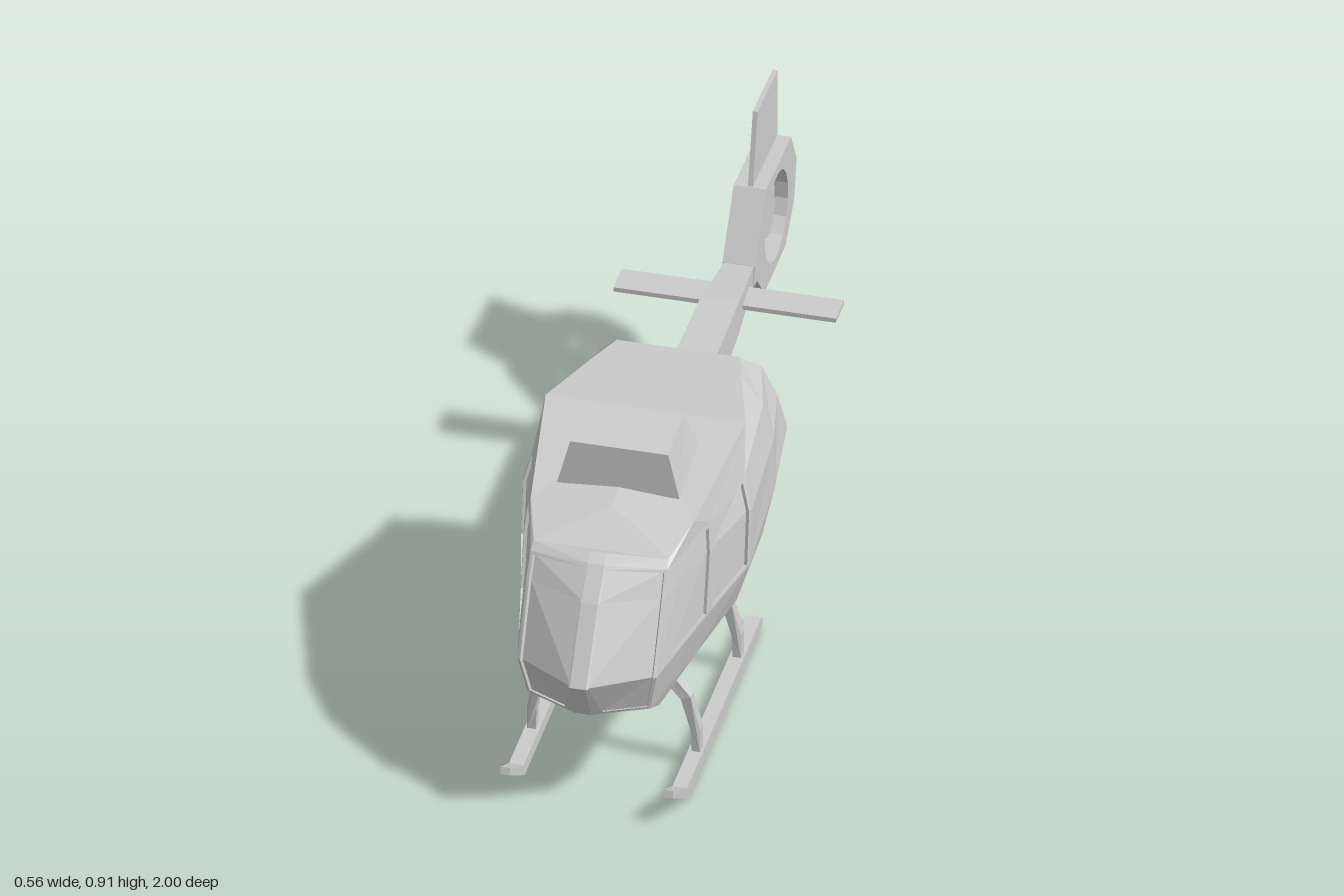
import * as THREE from 'three';

const mat = new THREE.MeshStandardMaterial({ color: 0xcccccc, flatShading: true });
const V = (x, y, z) => new THREE.Vector3(x, y, z);

function add(parent, geo, name) {
  const m = new THREE.Mesh(geo, mat);
  m.name = name;
  parent.add(m);
  return m;
}

// Collects faces of the left half and mirrors them to the right half
function mirroredSurface() {
  const pos = [];
  const tri = (a, b, c) => {
    const area = b.clone().sub(a).cross(c.clone().sub(a)).length();
    if (area < 1e-7) return;
    for (const p of [a, b, c]) pos.push(p.x, p.y, p.z);
    for (const p of [a, c, b]) pos.push(-p.x, p.y, p.z);
  };
  const quad = (a, b, c, d) => { tri(a, b, c); tri(a, c, d); };
  const build = () => {
    const g = new THREE.BufferGeometry();
    g.setAttribute('position', new THREE.Float32BufferAttribute(pos, 3));
    g.computeVertexNormals();
    return g;
  };
  return { quad, build };
}

// Recessed pane with a frame, between two columns of points running upward
function windowPanel(quad, l, r, u0, u1, v0, v1, depth) {
  const n = l.length - 1;
  const L = l.map((p, i) => p.clone().lerp(r[i], u0[i]));
  const R = l.map((p, i) => p.clone().lerp(r[i], u1));
  for (const c of [L, R]) {
    c[0].lerp(c[1], v0);
    c[n].lerp(c[n - 1], v1);
  }
  const inward = R[0].clone().sub(L[0]).cross(L[n].clone().sub(L[0])).normalize().multiplyScalar(-depth);
  const Li = L.map(p => p.clone().add(inward)), Ri = R.map(p => p.clone().add(inward));
  const cols = [l, L, Li, Ri, R, r];
  for (let c = 0; c < 5; c++)
    for (let i = 0; i < n; i++) quad(cols[c][i], cols[c + 1][i], cols[c + 1][i + 1], cols[c][i + 1]);
  quad(l[0], r[0], R[0], L[0]);
  quad(L[0], R[0], Ri[0], Li[0]);
  quad(Li[n], Ri[n], R[n], L[n]);
  quad(L[n], R[n], r[n], l[n]);
}

function cabin() {
  const { quad, build } = mirroredSurface();
  // Half sections from nose to tail, each from floor edge up to roof edge
  const sections = [
    [[.02, .265, .83], [.02, .315, .95], [.02, .42, 1], [.02, .59, .885], [.02, .66, .82], [.02, .675, .79]],
    [[.15, .265, .8], [.15, .315, .89], [.17, .42, .91], [.17, .59, .825], [.168, .652, .79], [.165, .668, .77]],
    [[.165, .258, .64], [.2, .315, .64], [.23, .432, .635], [.23, .59, .6], [.222, .665, .585], [.2, .71, .66]],
    [[.188, .247, .4], [.24, .315, .4], [.28, .445, .43], [.28, .59, .41], [.258, .672, .395], [.245, .78, .33]],
    [[.185, .235, .12], [.232, .31, .12], [.266, .465, .12], [.262, .595, .12], [.235, .69, .12], [.18, .754, .11]],
    [[.15, .305, -.07], [.19, .315, -.08], [.24, .48, -.1], [.225, .6, -.06], [.19, .68, -.05], [.15, .74, .01]]
  ].map(s => s.map(p => V(...p)));
  const nose = sections[0].map(p => V(0, p.y, p.z));
  const roofRise = [0, 0, .015, 0, 0, 0, 0];
  const rings = [nose, ...sections].map((s, i) => [
    V(0, s[0].y, s[0].z), ...s, V(0, s[5].y + (i === 3 ? roofRise[2] : 0), s[5].z)
  ]);
  // Rows replaced by windows, per column
  const glazed = { 1: [2, 5], 2: [3, 5], 3: [3, 5] };
  for (let c = 0; c < rings.length - 1; c++)
    for (let r = 0; r < 7; r++) {
      const g = glazed[c];
      if (g && r >= g[0] && r < g[1]) continue;
      quad(rings[c][r], rings[c + 1][r], rings[c + 1][r + 1], rings[c][r + 1]);
    }
  const part = (c, a) => rings[c].slice(a, 6);
  windowPanel(quad, part(1, 2), part(2, 2), [.22, .03, .03, .03], .95, .07, .12, .01);
  windowPanel(quad, part(2, 3), part(3, 3), [.3, .27, .24], .95, .04, .15, .008);
  windowPanel(quad, part(3, 3), part(4, 3), [.08, .08, .1], .93, .04, .12, .008);
  // Rear wall with the notch above the boom
  const end = sections[5];
  const innerZ = [-.07, -.085, -.11, 0, .01, .01];
  const inner = end.map((p, i) => V(i < 3 ? .08 : .1, p.y, innerZ[i]));
  const mid = inner.map(p => V(0, p.y, p.z));
  for (let i = 0; i < 5; i++) {
    quad(end[i], inner[i], inner[i + 1], end[i + 1]);
    quad(inner[i], mid[i], mid[i + 1], inner[i + 1]);
  }
  return build();
}

// Rectangular beam through sections [z, bottom, top, half width], front to back
function beam(list) {
  const { quad, build } = mirroredSurface();
  const rings = list.map(([z, b, t, w]) => [V(0, b, z), V(w, b, z), V(w, t, z), V(0, t, z)]);
  for (let i = 0; i < rings.length - 1; i++)
    for (let r = 0; r < 3; r++) quad(rings[i][r], rings[i + 1][r], rings[i + 1][r + 1], rings[i][r + 1]);
  const f = rings[0], e = rings[rings.length - 1];
  quad(f[0], f[1], f[2], f[3]);
  quad(e[1], e[0], e[3], e[2]);
  return build();
}

// Side outline of [z, y] points, extruded across x
function sidePlate(points, width, hole) {
  const s = new THREE.Shape(points.map(([z, y]) => new THREE.Vector2(-z, y)));
  if (hole) s.holes.push(hole);
  return new THREE.ExtrudeGeometry(s, { depth: width, bevelEnabled: false })
    .translate(0, 0, -width / 2).rotateY(Math.PI / 2);
}

export function createModel() {
  const root = new THREE.Group();
  root.name = 'helicopter';
  add(root, cabin(), 'cabin');

  // Roof housing, tapering upward
  const housing = new THREE.BoxGeometry(1, 1, 1);
  const p = housing.attributes.position;
  for (let i = 0; i < p.count; i++) {
    const top = p.getY(i) > 0, front = p.getZ(i) > 0;
    p.setXYZ(i, Math.sign(p.getX(i)) * (top ? .12 : .15),
      top ? (front ? .842 : .856) : (front ? .725 : .76), front ? (top ? .592 : .6) : (top ? .435 : .41));
  }
  add(root, housing, 'rotorHousing');

  // Tail boom and stabiliser
  add(root, beam([[.04, .47, .605, .05], [-.1, .482, .605, .05], [-.4, .513, .604, .047], [-.62, .53, .575, .034]]), 'tailBoom');
  add(root, new THREE.BoxGeometry(.545, .012, .08).translate(0, .556, -.49), 'stabiliser');

  // Ducted tail fan
  const cz = -.8, cy = .583, hole = new THREE.Path();
  for (let i = 0; i < 16; i++) {
    const a = -(i + .5) / 16 * Math.PI * 2;
    const x = -cz + .115 * Math.cos(a), y = cy + .115 * Math.sin(a);
    i ? hole.lineTo(x, y) : hole.moveTo(x, y);
  }
  hole.closePath();
  add(root, sidePlate([[-.59, .58], [-.575, .53], [-.61, .525], [-.68, .442], [-.89, .44], [-.975, .515],
    [-1, .62], [-.945, .716], [-.7, .728]], .08, hole), 'fanShroud');
  const fan = new THREE.Group();
  fan.name = 'tailFan';
  fan.position.set(0, cy, cz);
  root.add(fan);
  add(fan, new THREE.CylinderGeometry(.053, .053, .045, 16).rotateZ(Math.PI / 2), 'fanHub');
  for (let i = 0; i < 8; i++) {
    const blade = add(fan, new THREE.BoxGeometry(.018, .065, .026).translate(0, .075, 0), 'fanBlade');
    blade.rotation.x = i * Math.PI / 4;
  }
  add(root, sidePlate([[-.7, .71], [-.945, .7], [-.95, .9], [-.752, .912]], .012), 'tailFin');

  // Landing gear
  const legShape = new THREE.Shape([[.11, .245], [.168, .19], [.188, .1], [.191, .03], [.212, .03], [.212, .1],
    [.192, .2], [.13, .265]].map(q => new THREE.Vector2(...q)));
  for (const side of [1, -1]) {
    const gear = new THREE.Group();
    gear.name = side > 0 ? 'leftSkid' : 'rightSkid';
    root.add(gear);
    const skid = sidePlate([[.055, .012], [.065, .004], [.79, 0], [.915, .082], [.91, .1], [.8, .036], [.065, .036], [.055, .028]], .036);
    const q = skid.attributes.position;
    for (let i = 0; i < q.count; i++) if (q.getZ(i) > .85) q.setX(i, q.getX(i) * .65);
    add(gear, skid.translate(.2 * side, 0, 0), 'skidTube');
    for (const z of [.64, .235]) {
      const leg = new THREE.ExtrudeGeometry(legShape, { depth: .026, bevelEnabled: false }).translate(0, 0, -.013);
      // Slight forward bow at the knee, mirrored by a half turn
      if (side < 0) leg.rotateY(Math.PI);
      const lp = leg.attributes.position;
      for (let i = 0; i < lp.count; i++) {
        const y = lp.getY(i);
        lp.setZ(i, lp.getZ(i) + z + (y > .15 && y < .22 ? .008 : y > .22 ? -.005 : -.006));
      }
      add(gear, leg, 'skidLeg');
    }
  }
  return root;
}
